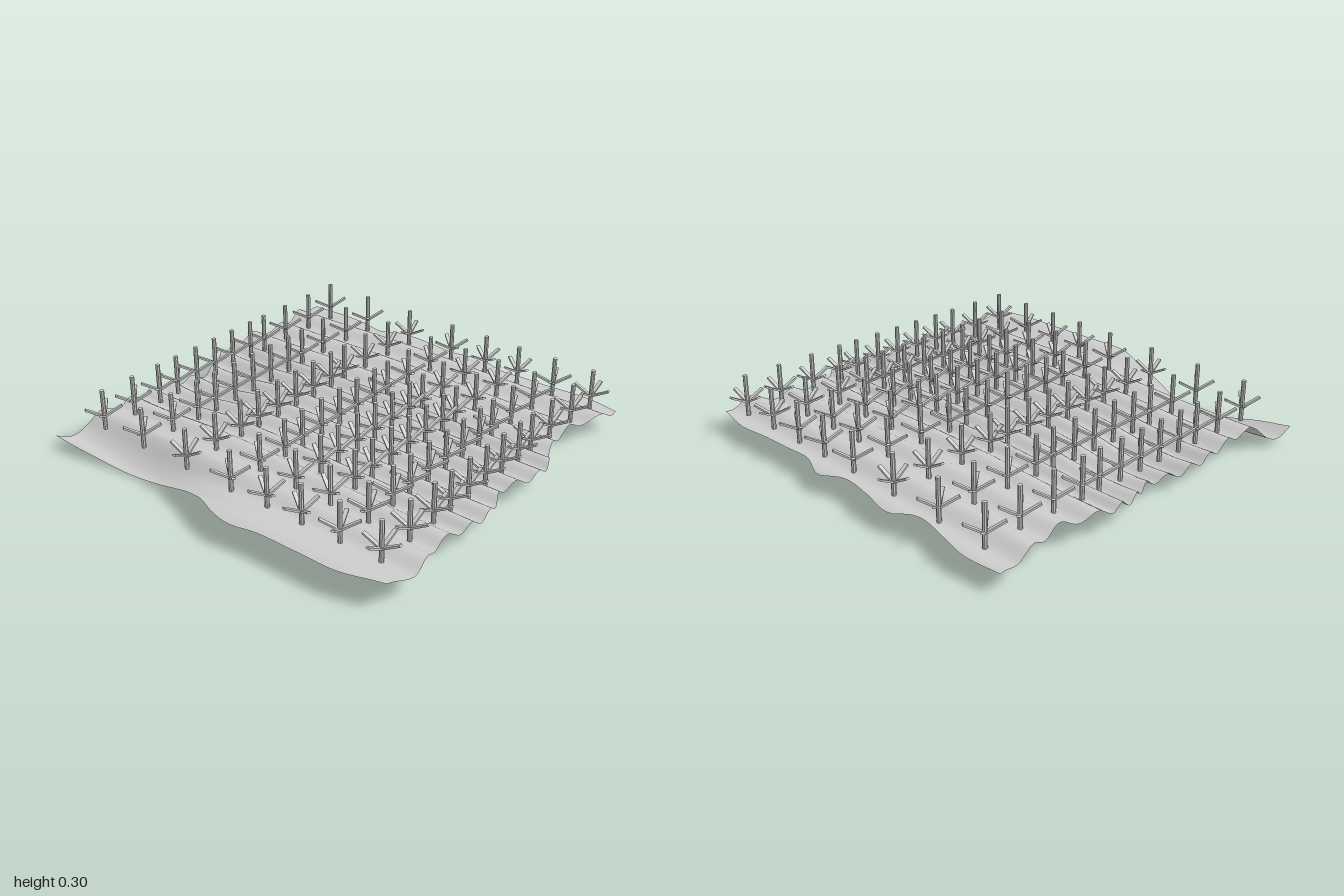
import * as THREE from 'three';

const COLUMNS = [-0.775, -0.59, -0.425, -0.305, -0.17, -0.04, 0.09, 0.225, 0.33, 0.5, 0.69, 0.88];
// each row: z, then the plan directions (x, z) of its two leaf pairs
const ROWS = [
  [-0.83, 13.5, 9, 11, -10], [-0.56, 12.5, 9.5, 11.5, -9],
  [-0.27, 1, 15.5, 14.5, -2.5], [0.01, 12.5, 10.5, 9.5, -13],
  [0.225, 16, 5.5, 7, -13], [0.42, 15.5, 4.5, 7, -13],
  [0.625, 15, -5.5, 8.5, 12], [0.835, 15, 0.5, 2, 15.5],
];

// smooth curve through [position, value] pairs
function edge(pairs) {
  const curve = new THREE.CatmullRomCurve3(pairs.map(([a, b]) => new THREE.Vector3(a, b, 0)));
  const pts = curve.getPoints(200);
  return (a) => {
    let i = 1;
    while (i < pts.length - 1 && pts[i].x < a) i++;
    const p = pts[i - 1], q = pts[i];
    const t = THREE.MathUtils.clamp((a - p.x) / (q.x - p.x), 0, 1);
    return p.y + (q.y - p.y) * t;
  };
}

// ragged outline of the plot
const leftEdge = edge([[-1, -0.93], [-0.85, -0.92], [-0.65, -0.89], [-0.4, -0.87], [-0.2, -0.9], [0, -0.94],
  [0.1, -0.98], [0.22, -1], [0.37, -0.98], [0.6, -0.975], [0.8, -0.97], [1, -0.92]]);
const rightEdge = edge([[-1, 0.97], [-0.8, 0.98], [-0.65, 0.955], [-0.47, 0.925], [-0.35, 0.985], [-0.15, 0.96],
  [0, 0.945], [0.15, 0.99], [0.3, 0.94], [0.45, 0.945], [0.6, 0.95], [0.8, 0.965], [1, 0.93]]);
const backEdge = edge([[-1, -1], [-0.85, -0.985], [-0.7, -0.94], [-0.4, -0.955], [-0.2, -0.945], [-0.03, -0.91],
  [0.2, -0.99], [0.4, -0.99], [0.58, -0.945], [0.7, -0.96], [0.85, -0.995], [1, -1]]);
const frontEdge = edge([[-1, 0.97], [-0.82, 0.995], [-0.6, 0.955], [-0.33, 0.99], [-0.2, 0.975], [-0.07, 0.93],
  [0.1, 0.975], [0.25, 0.98], [0.4, 0.91], [0.57, 0.88], [0.72, 0.89], [0.87, 0.95], [1, 0.95]]);

const dip = (d, w) => Math.exp(-(d * d) / (w * w));

// furrows dip at each planted column and crest in between
function groundHeight(x, z) {
  const lines = [-1.08, ...COLUMNS, 1.06];
  let i = 0;
  while (i < lines.length - 2 && lines[i + 1] < x) i++;
  const t = (x - lines[i]) / (lines[i + 1] - lines[i]);
  const furrow = -Math.cos(2 * Math.PI * t) * 0.018;
  return 0.142 + furrow + 0.012 * dip(z + 0.2, 0.5)
    - 0.125 * dip(x + 0.87, 0.12) * dip(z + 0.5, 0.4)
    - 0.06 * dip(x + 0.87, 0.12) * dip(z + 1, 0.3)
    - 0.055 * dip(x + 0.12, 0.32) * dip(z + 0.8, 0.3)
    - 0.05 * dip(x - 1, 0.09);
}

function createGround(material) {
  const geo = new THREE.PlaneGeometry(2, 2, 150, 60).rotateX(-Math.PI / 2);
  const pos = geo.attributes.position;
  const { lerp } = THREE.MathUtils;
  for (let i = 0; i < pos.count; i++) {
    const u = pos.getX(i), v = pos.getZ(i);
    const x = lerp(leftEdge(v), rightEdge(v), (u + 1) / 2);
    const z = lerp(backEdge(u), frontEdge(u), (v + 1) / 2);
    pos.setXYZ(i, x, groundHeight(x, z), z);
  }
  geo.computeVertexNormals();
  const ground = new THREE.Mesh(geo, material);
  ground.name = 'furrowedGround';
  return ground;
}

export function createModel() {
  const model = new THREE.Group();
  model.name = 'cropField';
  model.add(createGround(new THREE.MeshStandardMaterial({ color: 0xcccccc, side: THREE.DoubleSide })));

  const plantMaterial = new THREE.MeshStandardMaterial({ color: 0xcccccc, flatShading: true });
  const stemGeo = new THREE.CylinderGeometry(0.011, 0.011, 0.205, 8).translate(0, 0.2225, 0);
  // leaf bar running outward along +x and rising to its tip
  const leafGeo = new THREE.BoxGeometry(0.098, 0.009, 0.018)
    .translate(0.049, 0, 0).rotateZ(0.5).translate(0, 0.187, 0);

  for (const [z, ax, az, bx, bz] of ROWS) {
    const row = new THREE.Group();
    row.name = 'plantRow';
    for (const x of COLUMNS) {
      const plant = new THREE.Group();
      plant.name = 'plant';
      const stem = new THREE.Mesh(stemGeo, plantMaterial);
      stem.name = 'stem';
      plant.add(stem);
      // two crossing pairs of opposite leaves
      for (const [dx, dz] of [[ax, az], [-ax, -az], [bx, bz], [-bx, -bz]]) {
        const leaf = new THREE.Mesh(leafGeo, plantMaterial);
        leaf.name = 'leaf';
        leaf.rotation.y = Math.atan2(-dz, dx);
        plant.add(leaf);
      }
      // rows wander slightly sideways
      plant.position.set(x - 0.009 * Math.sin((z + 0.2) * 2.4), 0, z);
      row.add(plant);
    }
    model.add(row);
  }
  return model;
}
